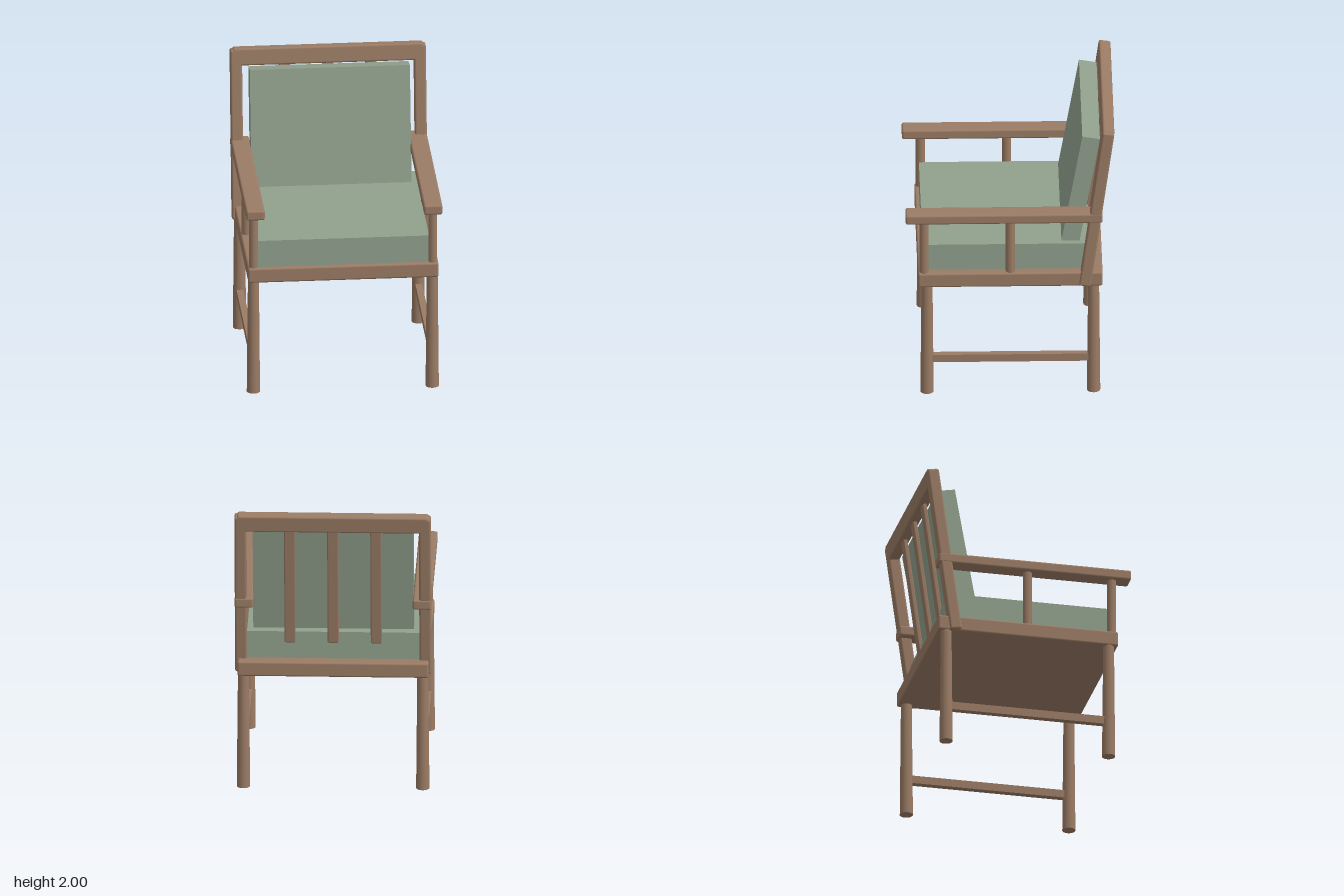
import * as THREE from 'three';
import { RoundedBoxGeometry } from 'three/addons/geometries/RoundedBoxGeometry.js';

export function createModel() {
  const group = new THREE.Group();
  group.name = 'armchair';

  const wood = new THREE.MeshStandardMaterial({ color: 0x9b7c65 });
  wood.name = 'wood';
  const fabric = new THREE.MeshStandardMaterial({ color: 0x91a18d });
  fabric.name = 'sage fabric';

  const add = (name, geometry, material, x, y, z, tilt = 0) => {
    const mesh = new THREE.Mesh(geometry, material);
    mesh.name = name;
    mesh.position.set(x, y, z);
    mesh.rotation.x = -tilt;
    group.add(mesh);
    return mesh;
  };
  const bar = (w, h, d, r = 0.014) => new RoundedBoxGeometry(w, h, d, 2, r);

  // Backrest plane: z of its centre line at height y
  const lean = THREE.MathUtils.degToRad(7.8);
  const backZ = (y) => -0.5 - (y - 0.815) * Math.tan(lean);

  // Solid seat frame and cushion
  add('seatFrame', bar(1.285, 0.105, 1.24), wood, 0, 0.8625, 0);
  add('seatCushion', new THREE.BoxGeometry(1.16, 0.19, 1.125), fabric, 0, 1.01, 0.0275);

  // Back cushion, leaning a little more than the frame
  const cushionLean = THREE.MathUtils.degToRad(10);
  add('backCushion', new THREE.BoxGeometry(1.08, 0.81, 0.12), fabric, 0, 1.491, -0.474, cushionLean);

  // Top rail and slats
  add('topRail', bar(1.285, 0.12, 0.08), wood, 0, 1.935, backZ(1.935), lean);
  for (const x of [-0.29, 0, 0.29]) {
    add('backSlat', bar(0.075, 0.88, 0.03, 0.008), wood, x, 1.465, backZ(1.465), lean);
  }

  for (const side of [-1, 1]) {
    // Back upright and armrest
    add('backUpright', bar(0.08, 1.18, 0.08), wood, side * 0.62, 1.4, backZ(1.4), lean);
    add('armrest', bar(0.125, 0.07, 1.325), wood, side * 0.599, 1.335, 0.0425);

    // Arm posts
    for (const z of [0.58, 0]) {
      add('armPost', new THREE.CylinderGeometry(0.031, 0.031, 0.4, 10), wood, side * 0.605, 1.105, z);
    }

    // Tapered legs and the stretcher between them
    for (const z of [0.56, -0.56]) {
      add('leg', new THREE.CylinderGeometry(0.037, 0.045, 0.83, 16), wood, side * 0.603, 0.415, z);
    }
    add('sideStretcher', new THREE.BoxGeometry(0.045, 0.055, 1.08), wood, side * 0.603, 0.258, 0);
  }
  return group;
}
